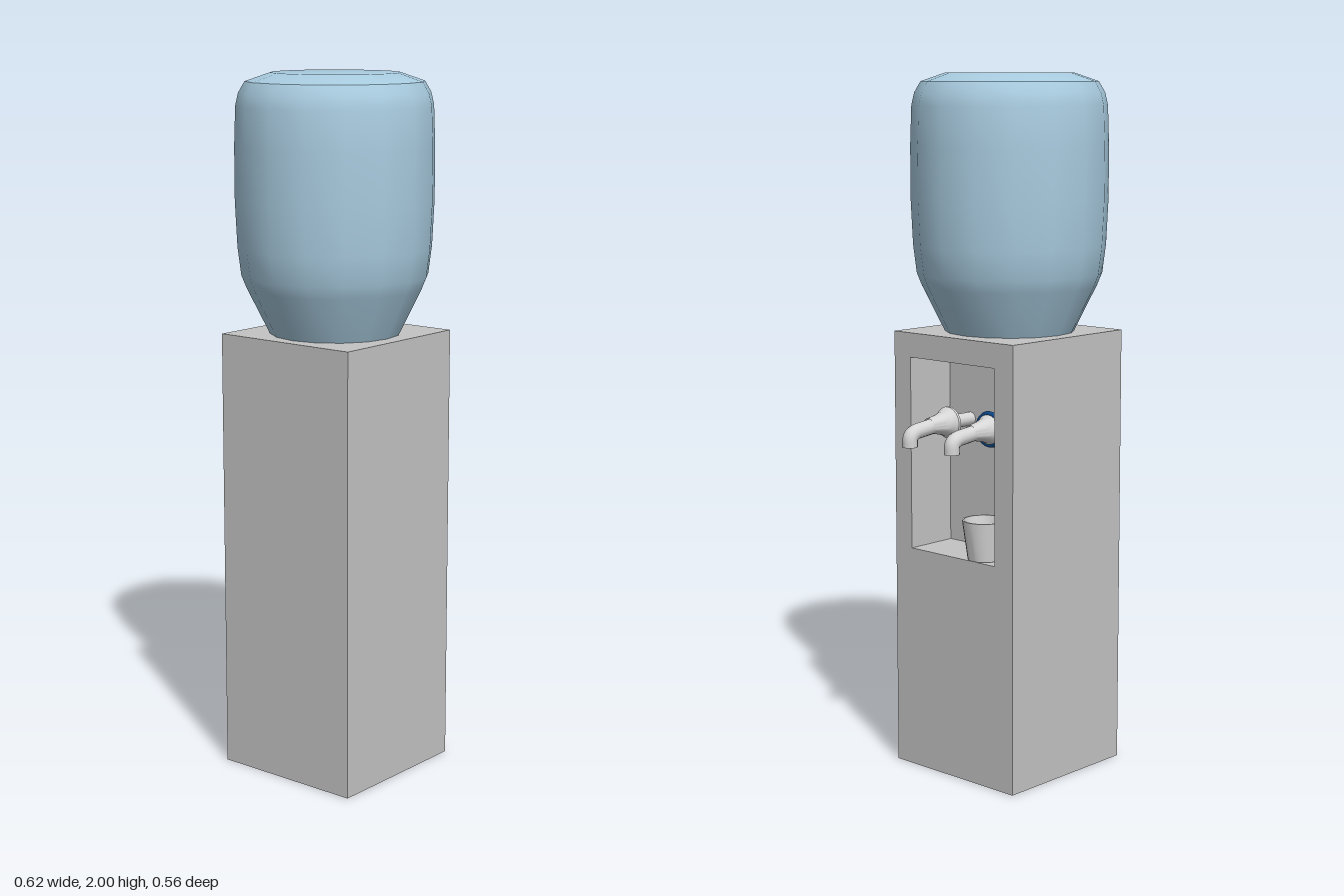
import * as THREE from 'three';
import { toCreasedNormals } from 'three/addons/utils/BufferGeometryUtils.js';

const material = (name, color, side = THREE.FrontSide) => {
  const m = new THREE.MeshStandardMaterial({ color, side });
  m.name = name;
  return m;
};

const lathe = (points, sides, crease = 0.55) => toCreasedNormals(
  new THREE.LatheGeometry(points.map(([r, y]) => new THREE.Vector2(r, y)), sides), crease);

export function createModel() {
  const group = new THREE.Group();
  const cabinetGrey = material('cabinet grey', 0xc4c4c5);
  const tapGrey = material('tap grey', 0xd6d6d6, THREE.DoubleSide);
  const bottleBlue = material('bottle blue', 0xa9cce0);
  const coldBlue = material('cold ring blue', 0x0d4a8c);

  const add = (parent, name, geometry, mat, x = 0, y = 0, z = 0) => {
    const mesh = new THREE.Mesh(geometry, mat);
    mesh.name = name;
    mesh.position.set(x, y, z);
    parent.add(mesh);
    return mesh;
  };

  // Cabinet: solid rear block, and a front slab with the dispensing niche cut out
  const height = 1.275, halfDepth = 0.229, back = -0.257, nicheBack = 0.043, front = 0.203;
  add(group, 'cabinetRear', new THREE.BoxGeometry(nicheBack - back, height, halfDepth * 2),
    cabinetGrey, (back + nicheBack) / 2, height / 2, 0);

  const rectangle = (Type, x0, y0, x1, y1) => new Type([
    new THREE.Vector2(x0, y0), new THREE.Vector2(x1, y0),
    new THREE.Vector2(x1, y1), new THREE.Vector2(x0, y1)]);
  const face = rectangle(THREE.Shape, -halfDepth, 0, halfDepth, height);
  face.holes.push(rectangle(THREE.Path, -0.165, 0.65, 0.16, 1.205));
  const slab = new THREE.ExtrudeGeometry(face, { depth: front - nicheBack, bevelEnabled: false });
  add(group, 'cabinetFront', slab, cabinetGrey, nicheBack).rotation.y = Math.PI / 2;

  // Upturned water bottle
  add(group, 'bottle', lathe([
    [0.183, 1.27], [0.25, 1.405], [0.264, 1.44], [0.274, 1.52], [0.28, 1.65],
    [0.28, 1.8], [0.276, 1.91], [0.268, 1.945], [0.25, 1.976], [0.18, 2.0], [0, 2.0],
  ], 16), bottleBlue, -0.033);

  // Taps: flared base, spout bending downwards, and a short pipe to the niche wall
  const spoutPath = new THREE.CurvePath();
  const p = (x, y) => new THREE.Vector3(x, y, 0);
  spoutPath.add(new THREE.LineCurve3(p(0.18, 1.018), p(0.255, 1.01)));
  spoutPath.add(new THREE.QuadraticBezierCurve3(p(0.255, 1.01), p(0.288, 1.007), p(0.288, 0.985)));
  spoutPath.add(new THREE.LineCurve3(p(0.288, 0.985), p(0.288, 0.968)));
  const spout = new THREE.TubeGeometry(spoutPath, 20, 0.022, 14);
  const flare = lathe([[0, 0], [0.046, 0], [0.046, 0.008], [0.036, 0.022], [0.028, 0.05], [0.022, 0.085]], 18);
  const pipe = new THREE.CylinderGeometry(0.02, 0.02, 0.09, 12);
  const outlet = new THREE.CircleGeometry(0.022, 14);

  const makeTap = (name, z) => {
    const tap = new THREE.Group();
    tap.name = name;
    tap.position.z = z;
    add(tap, 'spout', spout, tapGrey);
    add(tap, 'outlet', outlet, tapGrey, 0.288, 0.968).rotation.x = Math.PI / 2;
    add(tap, 'flaredBase', flare, tapGrey, 0.13, 1.018).rotation.z = -Math.PI / 2;
    add(tap, 'pipe', pipe, tapGrey, 0.087, 1.018).rotation.z = Math.PI / 2;
    group.add(tap);
    return tap;
  };
  makeTap('hotTap', 0.083);
  const coldTap = makeTap('coldTap', -0.08);
  add(coldTap, 'coldRing', new THREE.TorusGeometry(0.044, 0.008, 8, 24), coldBlue, 0.136, 1.018)
    .rotation.y = Math.PI / 2;

  // Open cup standing on the niche floor
  add(group, 'cup', lathe([
    [0, 0.652], [0.047, 0.652], [0.063, 0.765], [0.058, 0.765], [0.043, 0.66], [0, 0.66],
  ], 18), tapGrey, 0.162, 0, -0.083);

  return group;
}
